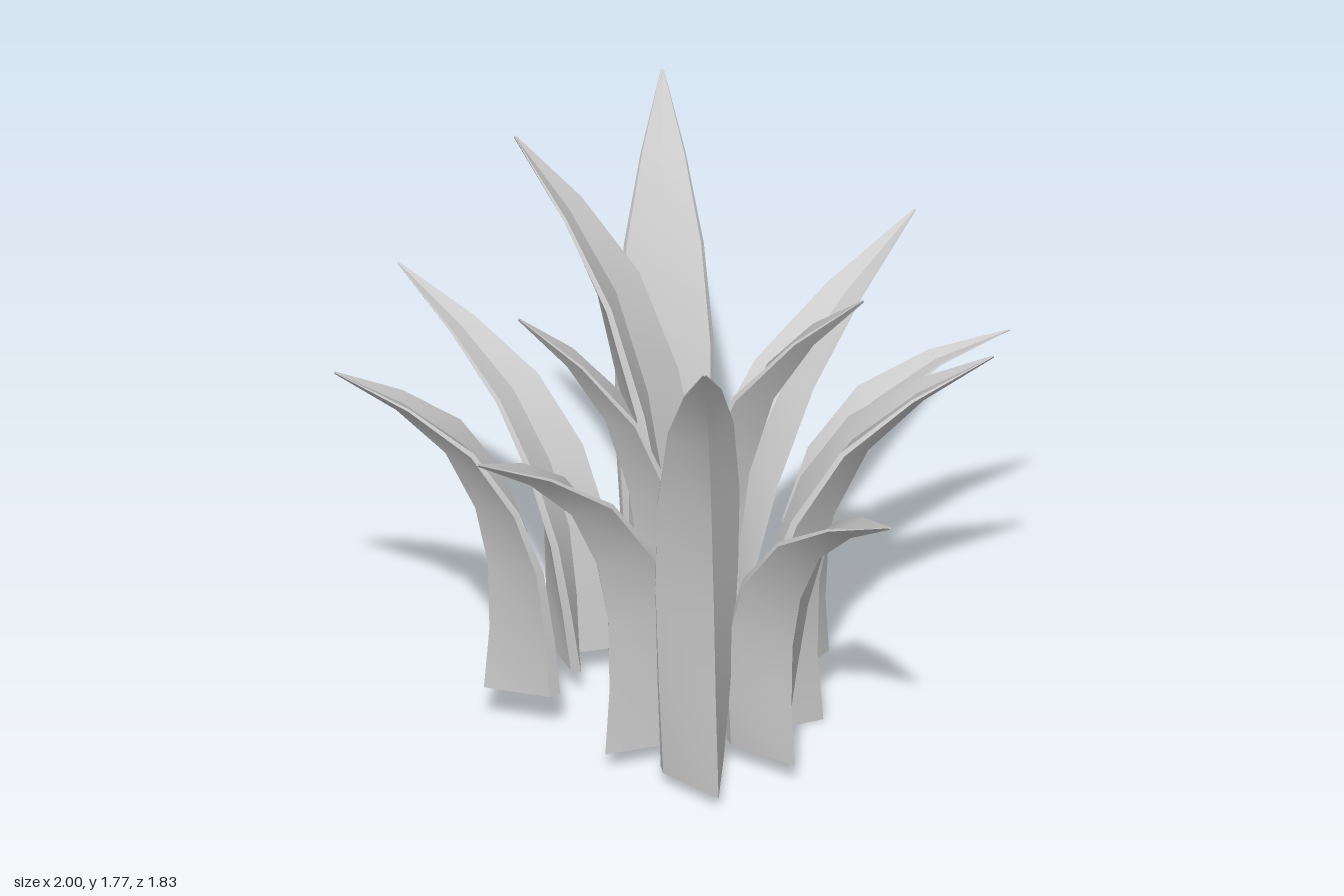
import * as THREE from 'three';

// Stations along a leaf: [height fraction, outward fraction, half width, fold depth]
const STATIONS = [
  [0, 0, 0.095, 0.22],
  [0.18, 0.005, 0.115, 0.18],
  [0.38, 0.04, 0.13, 0.15],
  [0.56, 0.14, 0.13, 0.12],
  [0.74, 0.34, 0.105, 0.085],
  [0.88, 0.64, 0.06, 0.045],
  [1, 1, 0.004, 0.006],
];

// Leaves: base x, y, z, then tip x, y, z, then size of the section, droop and twist
const LEAVES = [
  [0.05, 0.13, -0.46, 0.16, 1.57, -0.92, 1.07, 0, 0],
  [-0.27, 0.10, -0.28, -0.65, 1.16, -0.75, 0.9, 0, 0],
  [-0.04, 0.02, -0.14, -0.40, 1.77, -0.40, 1.07, 0, 0],
  [0.13, 0.02, -0.08, 0.79, 1.26, -0.51, 1.05, 0.05, 0],
  [0.37, 0.07, -0.12, 1.00, 0.98, -0.26, 0.7, 0.9, 0],
  [0.27, 0.00, 0.06, 0.82, 1.26, 0.27, 0.97, 0.05, 0],
  [0.06, 0.02, 0.02, 0.42, 1.57, 0.36, 1, 0, 0],
  [0.17, 0.08, 0.32, 0.36, 1.16, 0.90, 1, 0, 0],
  [-0.05, 0.05, 0.385, -0.18, 1.77, 0.91, 0.97, 0, 0.4],
  [-0.20, 0.07, 0.17, -0.73, 1.28, 0.48, 1, 0, 0],
  [-0.47, 0.15, -0.07, -1.00, 1.27, -0.09, 0.92, 0, 0],
  [-0.07, 0.03, 0.06, -0.51, 1.48, 0.08, 0.9, 0, 0],
];

// Folded V cross-section with thin rims: ridge, right rim, inner crease, left rim
function section(w, d) {
  const rim = d * 0.16;
  return [
    [0, d / 2],
    [w, -d / 2 + rim],
    [w * 0.93, -d / 2],
    [0, -d * 0.17],
    [-w * 0.93, -d / 2],
    [-w, -d / 2 + rim],
  ];
}

// Leaf facing +z, rising from the origin and arching outwards, turned by twist from its lean
function leafGeometry(height, reach, size, droop, twist) {
  const path = STATIONS.map(([t, out]) => new THREE.Vector2(
    out * reach * Math.cos(twist), height * t * (1 + droop * t * (1 - t))));
  const rings = STATIONS.map(([, out, w, d], i) => {
    const tangent = path[Math.min(i + 1, path.length - 1)].clone()
      .sub(path[Math.max(i - 1, 0)]).normalize();
    if (i === 0) tangent.set(0, 1);
    const shift = -out * reach * Math.sin(twist);
    return section(w * size, d * size).map(([s, r]) =>
      [s + shift, path[i].y - r * tangent.x, path[i].x + r * tangent.y]);
  });

  const positions = [];
  const index = [];
  const sides = rings[0].length;
  // Each side is its own strip: smooth lengthwise, sharp across the folds
  for (let k = 0; k < sides; k++) {
    const start = positions.length / 3;
    for (const ring of rings) positions.push(...ring[k], ...ring[(k + 1) % sides]);
    for (let i = 0; i < rings.length - 1; i++) {
      const a = start + i * 2;
      index.push(a, a + 1, a + 2, a + 1, a + 3, a + 2);
    }
  }
  // End caps, fanned from the inner crease
  const cap = (ring, flip) => {
    const start = positions.length / 3;
    ring.forEach((p) => positions.push(...p));
    for (let k = 1; k < sides - 1; k++) {
      const b = start + (3 + k) % sides;
      const c = start + (4 + k) % sides;
      index.push(start + 3, flip ? c : b, flip ? b : c);
    }
  };
  cap(rings[0], true);
  cap(rings[rings.length - 1], false);

  const geometry = new THREE.BufferGeometry();
  geometry.setAttribute('position', new THREE.Float32BufferAttribute(positions, 3));
  geometry.setIndex(index);
  geometry.computeVertexNormals();
  return geometry;
}

export function createModel() {
  const group = new THREE.Group();
  group.name = 'leafClump';
  const material = new THREE.MeshStandardMaterial({ color: 0xcccccc });
  LEAVES.forEach(([bx, by, bz, tx, ty, tz, size, droop, twist], i) => {
    const dx = tx - bx;
    const dz = tz - bz;
    const geometry = leafGeometry(ty - by, Math.hypot(dx, dz), size, droop, twist);
    const leaf = new THREE.Mesh(geometry, material);
    leaf.name = `leaf${i + 1}`;
    leaf.position.set(bx, by, bz);
    leaf.rotation.y = Math.atan2(dx, dz) + twist;
    group.add(leaf);
  });
  return group;
}
